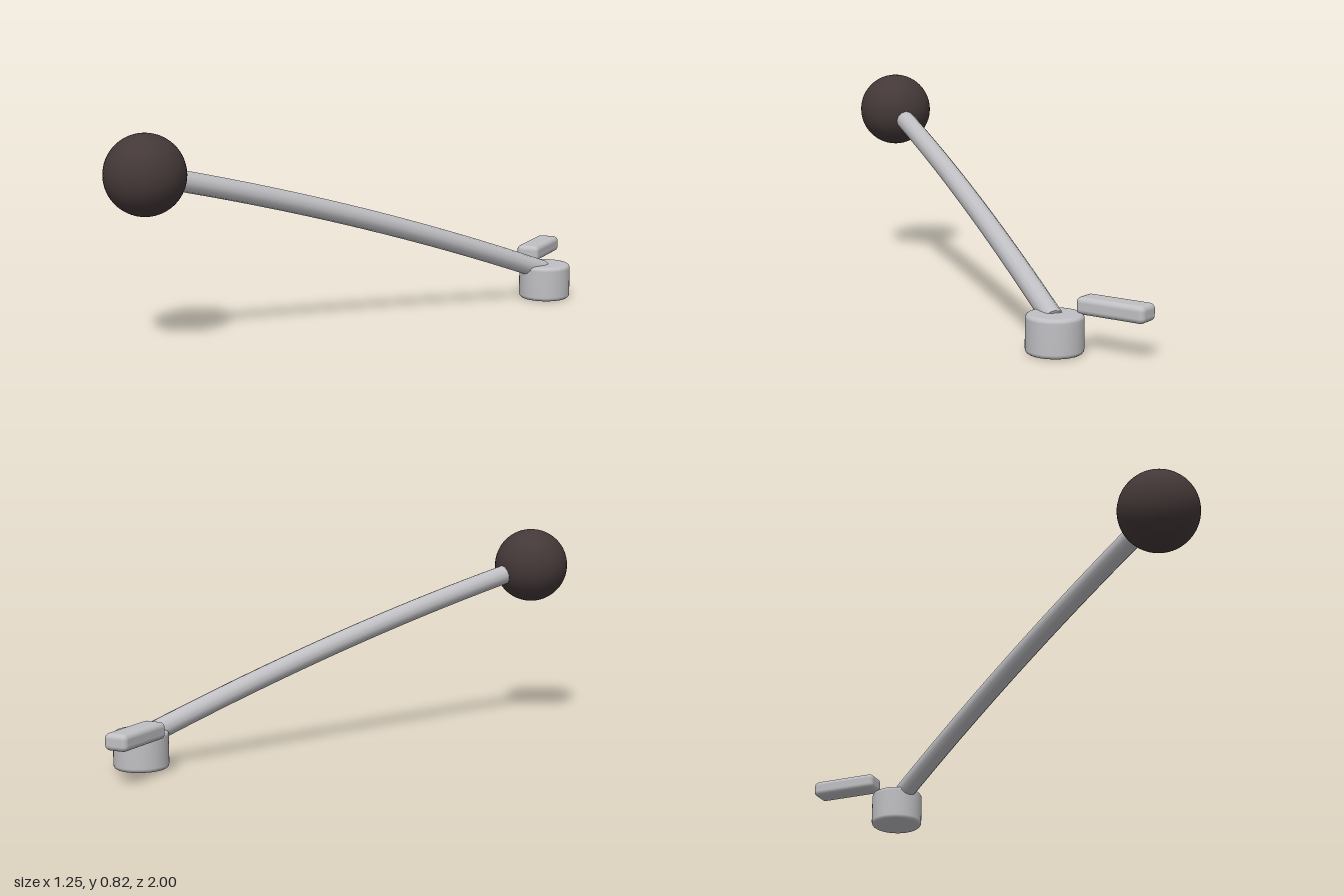
import * as THREE from 'three';
import { RoundedBoxGeometry } from 'three/addons/geometries/RoundedBoxGeometry.js';

export function createModel() {
  const group = new THREE.Group();
  const metal = new THREE.MeshStandardMaterial({ color: 0xc0c0c4 });
  metal.name = 'brushed metal';
  const dark = new THREE.MeshStandardMaterial({ color: 0x443838 });
  dark.name = 'dark knob';

  const add = (name, geometry, material, x = 0, y = 0, z = 0) => {
    const mesh = new THREE.Mesh(geometry, material);
    mesh.name = name;
    mesh.position.set(x, y, z);
    group.add(mesh);
    return mesh;
  };

  // Pivot hub: a short drum with rounded rims
  const r = 0.105, h = 0.143, b = 0.016;
  const profile = [new THREE.Vector2(0, 0)];
  for (let i = 0; i <= 4; i++) {
    const a = (i / 4) * Math.PI / 2;
    profile.push(new THREE.Vector2(r - b + b * Math.sin(a), b - b * Math.cos(a)));
  }
  for (let i = 0; i <= 4; i++) {
    const a = (i / 4) * Math.PI / 2;
    profile.push(new THREE.Vector2(r - b + b * Math.cos(a), h - b + b * Math.sin(a)));
  }
  profile.push(new THREE.Vector2(0, h));
  add('pivotHub', new THREE.LatheGeometry(profile, 40), metal, 0.52, 0, -0.67);

  // Gently arched arm from the hub into the knob
  const start = new THREE.Vector3(0.513, 0.116, -0.662);
  const end = new THREE.Vector3(-0.475, 0.665, 0.845);
  const middle = new THREE.Vector3(0.019, 0.458, 0.0915);
  const curve = new THREE.QuadraticBezierCurve3(start, middle, end);
  add('arm', new THREE.TubeGeometry(curve, 32, 0.04, 12, false), metal);

  // Flat cap closing the hub end of the arm
  const cap = add('armCap', new THREE.CircleGeometry(0.04, 12), metal, ...start.toArray());
  cap.lookAt(start.clone().sub(curve.getTangent(0)));

  // Round knob
  add('knob', new THREE.SphereGeometry(0.152, 48, 32), dark, -0.475, 0.665, 0.845);

  // Small rounded tab behind the hub
  add('rearTab', new RoundedBoxGeometry(0.095, 0.064, 0.278, 4, 0.02), metal, 0.422, 0.167, -0.859);

  return group;
}
